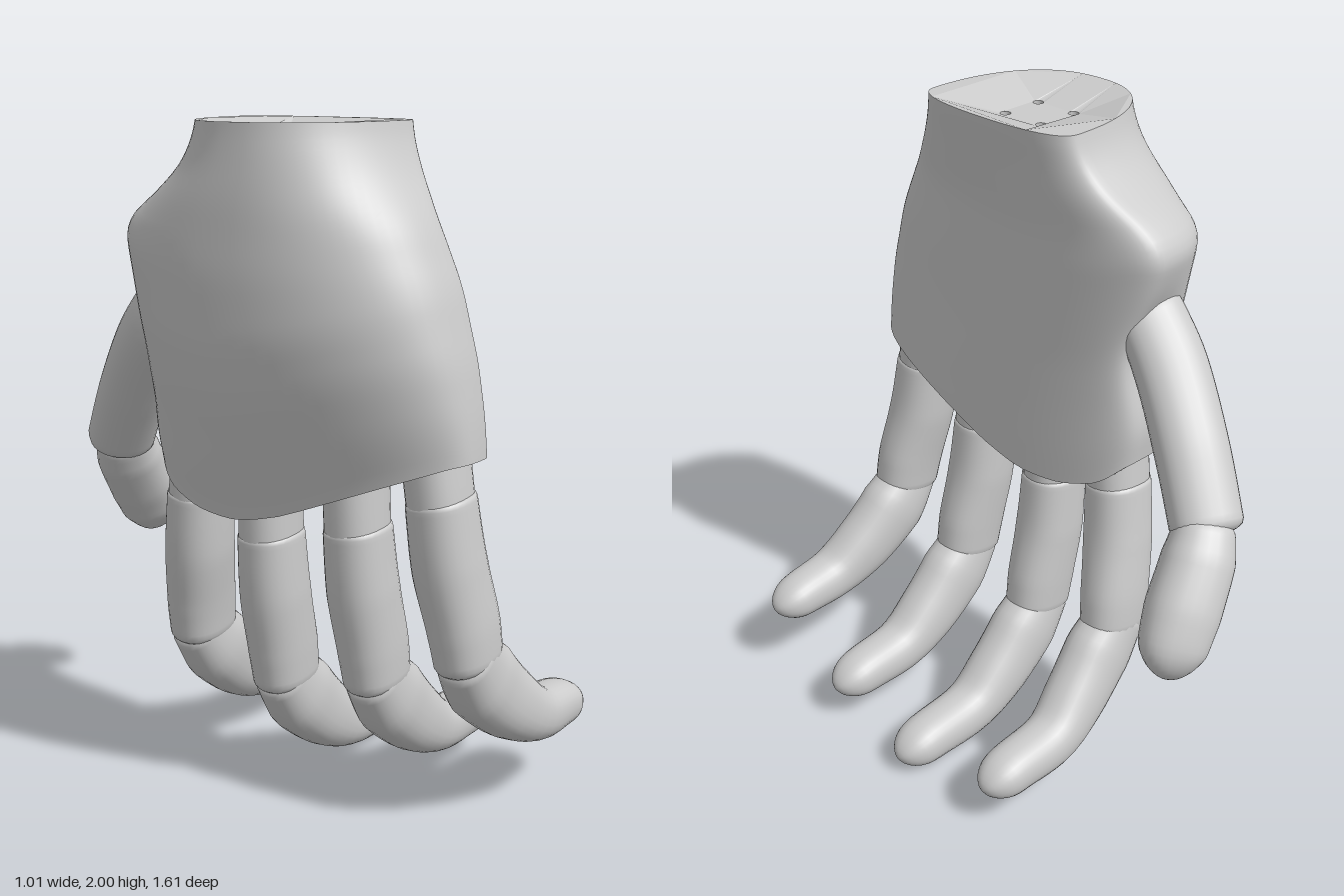
import * as THREE from 'three';

const material = new THREE.MeshStandardMaterial({ color: 0xcccccc, side: THREE.DoubleSide });
const TAU = Math.PI * 2;
const spow = (v, p) => Math.sign(v) * Math.abs(v) ** p;

// Skin a list of closed loops of Vector3
function skin(rows) {
  const n = rows[0].length, pos = [], idx = [];
  rows.forEach(r => r.forEach(p => pos.push(p.x, p.y, p.z)));
  for (let i = 0; i < rows.length - 1; i++) {
    for (let j = 0; j < n; j++) {
      const k = (j + 1) % n, a = i * n + j, b = i * n + k;
      idx.push(a, b, b + n, a, b + n, a + n);
    }
  }
  const g = new THREE.BufferGeometry();
  g.setAttribute('position', new THREE.Float32BufferAttribute(pos, 3));
  g.setIndex(idx);
  g.computeVertexNormals();
  return g;
}

function add(parent, name, geometry) {
  const m = new THREE.Mesh(geometry, material);
  m.name = name;
  parent.add(m);
  return m;
}

// Rounded finger segment: points [x, y, z, side radius, depth radius]
function segment(points, side, capA, capB) {
  const curve = new THREE.CatmullRomCurve3(points.map(p => new THREE.Vector3(p[0], p[1], p[2])));
  const length = curve.getLength(), rows = [], N = 32, M = 28, last = points.length - 1;
  const round = (d, cap) => (d >= cap ? 1 : Math.sqrt(Math.max(0, 1 - (1 - d / cap) ** 2)));
  for (let i = 0; i <= N; i++) {
    const u = 0.5 - 0.5 * Math.cos(Math.PI * i / N);
    const t = curve.getUtoTmapping(u), k = Math.min(last - 1, Math.floor(t * last)), f = t * last - k;
    const s = Math.max(0.001, round(u * length, capA) * round((1 - u) * length, capB));
    const rs = s * THREE.MathUtils.lerp(points[k][3], points[k + 1][3], f);
    const rn = s * THREE.MathUtils.lerp(points[k][4], points[k + 1][4], f);
    const c = curve.getPoint(t), T = curve.getTangent(t);
    const S = side.clone().addScaledVector(T, -side.dot(T)).normalize();
    const D = T.clone().cross(S);
    rows.push(Array.from({ length: M }, (_, j) => {
      const a = TAU * j / M;
      return c.clone().addScaledVector(S, rs * spow(Math.cos(a), 0.88))
        .addScaledVector(D, rn * spow(Math.sin(a), 0.88));
    }));
  }
  return skin(rows);
}

// Piecewise profile of [y, value], y descending, softened a little
function profile(table) {
  const at = y => {
    if (y >= table[0][0]) return table[0][1];
    for (let i = 1; i < table.length; i++) {
      const [y0, a] = table[i - 1], [y1, b] = table[i];
      if (y >= y1) return a + (b - a) * (y0 - y) / (y0 - y1);
    }
    return table[table.length - 1][1];
  };
  return y => (at(y + 0.04) + at(y + 0.02) + at(y) + at(y - 0.02) + at(y - 0.04)) / 5;
}
const littleSide = profile([[2, 0.43], [1.9, 0.475], [1.76, 0.575], [1.6, 0.65], [1.4, 0.705], [1.25, 0.73], [1.14, 0.74]]);
const thumbSide = profile([[2, -0.13], [1.9, -0.18], [1.82, -0.285], [1.7, -0.405], [1.6, -0.385], [1.5, -0.365], [1.4, -0.345], [1.25, -0.33], [1.1, -0.335], [1.03, -0.32]]);
const backX = profile([[2, -0.48], [1.8, -0.5], [1.6, -0.505], [1.4, -0.497], [1.25, -0.47], [1.05, -0.415], [0.89, -0.365]]);
const palmX = profile([[2, 0.01], [1.9, -0.01], [1.7, -0.04], [1.3, -0.045], [0.89, -0.04]]);
const midX = profile([[2, -0.09], [1.85, -0.12], [1.7, -0.18], [0.89, -0.2]]);
const rimY = profile([[0.735, 1.13], [0.55, 1.06], [0.4, 1.0], [0.2, 0.92], [0.05, 0.885], [-0.1, 0.895], [-0.25, 0.945], [-0.33, 1.04]]);

// One loop of the palm shell, v = 0 at the wrist and 1 at the lower rim
function palmLoop(v, shrink = 1, lift = 0) {
  const z1 = littleSide(2 - 0.86 * v), z0 = thumbSide(2 - 0.97 * v), y = 2 - 1.11 * v;
  const zc = (z0 + z1) / 2, hz = (z1 - z0) / 2, xm = midX(y);
  return Array.from({ length: 72 }, (_, j) => {
    const c = Math.cos(TAU * j / 72), s = -Math.sin(TAU * j / 72);
    let z = zc + hz * shrink * spow(c, 0.85);
    const x = s > 0 ? xm + (palmX(y) - xm) * shrink * s ** (0.66 - 0.14 * v)
      : xm - (xm - backX(y)) * shrink * (-s) ** (0.9 - 0.1 * v);
    const py = 2 - v * (2 - rimY(z)) + lift;
    // hollow where the thumb leaves the palm
    if (c < 0) z += 0.06 * Math.exp(-(((x + 0.18) / 0.08) ** 2)) * Math.exp(-(((py - 1.38) / 0.15) ** 2)) * c * c;
    return new THREE.Vector3(x, py, z);
  });
}

function buildPalm(hand) {
  const palm = new THREE.Group();
  palm.name = 'palm';
  hand.add(palm);
  add(palm, 'palmShell', skin(Array.from({ length: 45 }, (_, i) => palmLoop(i / 44))));

  // Lower rim and the recess that holds the fingers
  add(palm, 'rim', skin([palmLoop(1), palmLoop(1, 0.95)]));
  add(palm, 'fingerRecess', skin([palmLoop(1, 0.95), palmLoop(1, 0.92, 0.1), palmLoop(1, 0.01, 0.12)]));

  // Wrist face, sinking unevenly to four pin holes
  const shape = new THREE.Shape(palmLoop(0).map(p => new THREE.Vector2(p.x, -p.z)));
  const pins = [-0.29, -0.155].flatMap(x => [0.08, 0.22].map(z => [x, z]));
  pins.forEach(([x, z]) => shape.holes.push(new THREE.Path().absarc(x, -z, 0.016, 0.4, 0.4 + TAU, true)));
  const face = new THREE.ShapeGeometry(shape, 6).rotateX(-Math.PI / 2);
  const p = face.attributes.position;
  for (let i = 0; i < p.count; i++) {
    const nearPin = pins.some(([x, z]) => Math.hypot(p.getX(i) - x, p.getZ(i) - z) < 0.03);
    p.setY(i, nearPin ? 1.955 : 2);
  }
  const flat = face.toNonIndexed();
  flat.computeVertexNormals();
  add(palm, 'wristFace', flat);
  pins.forEach(([x, z]) => {
    add(palm, 'pinHole', new THREE.CylinderGeometry(0.016, 0.016, 0.08, 12, 1, true)).position.set(x, 1.915, z);
  });
}

// base z, joint z, tip z, drop of the joints, reach of the tip
const FINGERS = [
  ['littleFinger', 0.61, 0.69, 0.725, 0, 0],
  ['ringFinger', 0.35, 0.385, 0.385, -0.125, 0.03],
  ['middleFinger', 0.05, 0.055, 0.05, -0.195, 0.06],
  ['indexFinger', -0.2, -0.275, -0.31, -0.11, 0.04],
];

function buildFinger(hand, [name, zb, zj, zt, dy, reach]) {
  const finger = new THREE.Group(), side = new THREE.Vector3(0, 0, 1);
  finger.name = name;
  hand.add(finger);
  const z = t => zb + (zj - zb) * t;
  add(finger, 'knuckle', segment([
    [-0.195, 1.17 + dy * 0.5, z(-0.1), 0.085, 0.105],
    [-0.195, 0.98 + dy, z(0.25), 0.085, 0.103],
    [-0.19, 0.86 + dy, z(0.4), 0.08, 0.09]], side, 0.02, 0.02));
  add(finger, 'proximalSegment', segment([
    [-0.197, 1.03 + dy, z(0.2), 0.09, 0.104],
    [-0.178, 0.82 + dy, z(0.5), 0.096, 0.112],
    [-0.142, 0.64 + dy, z(0.85), 0.09, 0.117],
    [-0.12, 0.5 + dy, z(1), 0.082, 0.112]], side, 0.025, 0.05));
  add(finger, 'fingertip', segment([
    [-0.165, 0.58 + dy, zj, 0.078, 0.09],
    [-0.06, 0.462 + dy, zj, 0.092, 0.122],
    [0.07, 0.35 + dy, (zj + zt) / 2, 0.09, 0.106],
    [0.19, 0.283 + dy, zt, 0.084, 0.083],
    [0.33 + reach, 0.267 + dy, zt, 0.078, 0.073],
    [0.445 + reach, 0.25 + dy, zt, 0.07, 0.055]], side, 0.03, 0.09));
}

function buildThumb(hand) {
  const thumb = new THREE.Group(), side = new THREE.Vector3(0.75, 0, 0.55).normalize();
  thumb.name = 'thumb';
  hand.add(thumb);
  add(thumb, 'thumbBase', segment([
    [-0.215, 1.52, -0.26, 0.1, 0.08],
    [-0.2, 1.36, -0.385, 0.108, 0.09],
    [-0.14, 1.16, -0.53, 0.108, 0.094],
    [-0.07, 0.95, -0.665, 0.106, 0.088]], side, 0.05, 0.04));
  add(thumb, 'thumbTip', segment([
    [-0.09, 1.01, -0.635, 0.08, 0.08],
    [-0.02, 0.91, -0.67, 0.105, 0.1],
    [0.07, 0.79, -0.695, 0.11, 0.1],
    [0.125, 0.7, -0.71, 0.1, 0.088],
    [0.155, 0.61, -0.72, 0.075, 0.065]], side, 0.05, 0.1));
}

export function createModel() {
  const hand = new THREE.Group();
  hand.name = 'hand';
  buildPalm(hand);
  FINGERS.forEach(f => buildFinger(hand, f));
  buildThumb(hand);
  return hand;
}
